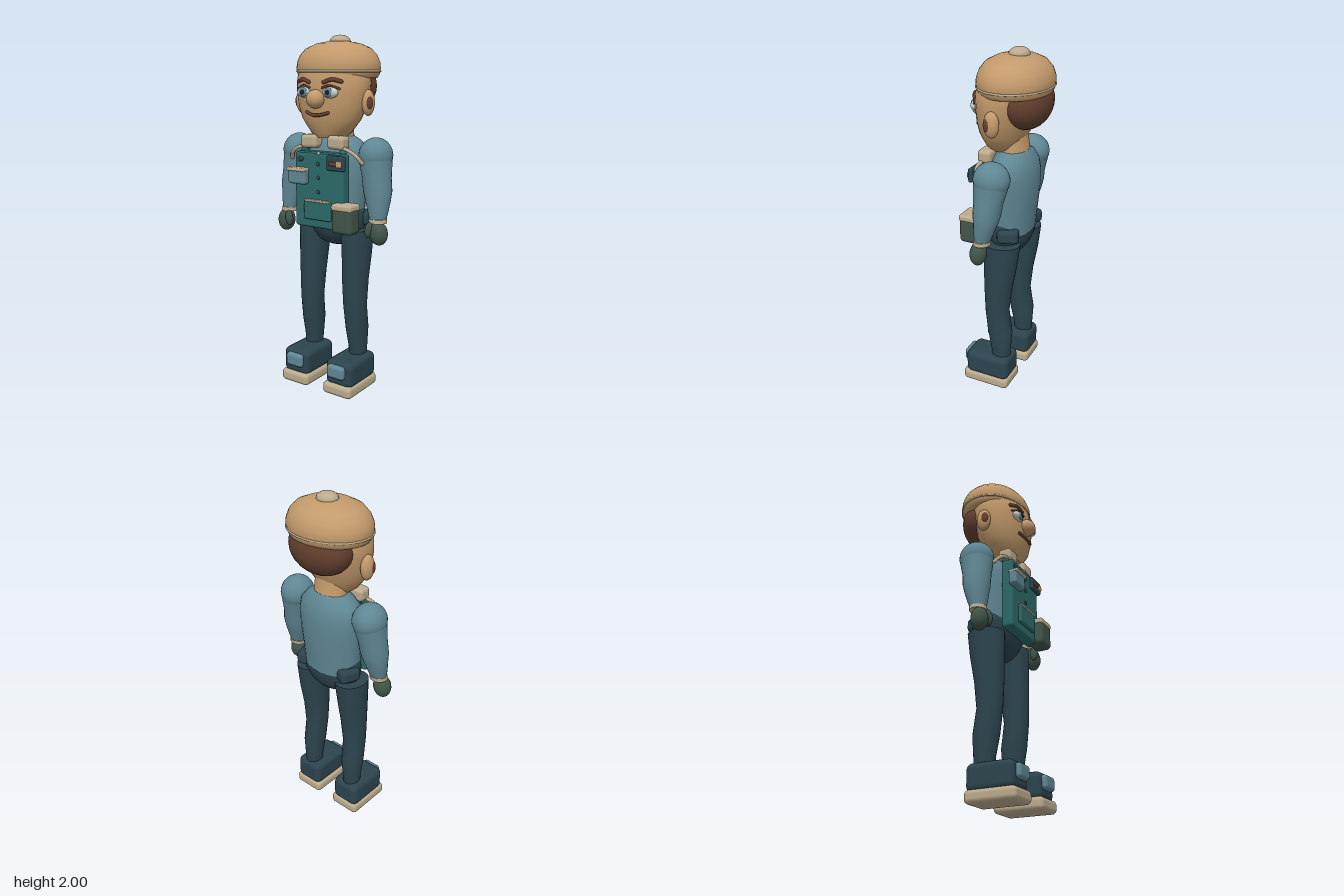
import * as THREE from 'three';
import { RoundedBoxGeometry } from 'three/addons/geometries/RoundedBoxGeometry.js';

const mat = (name, color, side = THREE.FrontSide) => {
  const m = new THREE.MeshStandardMaterial({ color, side });
  m.name = name;
  return m;
};

export function createModel() {
  const skin = mat('tan', 0xc39a6b);
  const navy = mat('navy', 0x2c444e);
  const steel = mat('steel blue', 0x5f8794);
  const teal = mat('teal', 0x2c6a69);
  const cream = mat('cream', 0xbcab8d);
  const brown = mat('brown', 0x64402f);
  const green = mat('glove green', 0x41554a);
  const white = mat('eye white', 0xc9cdc8);
  const black = mat('pupil', 0x15222a);

  const root = new THREE.Group();
  root.name = 'worker';

  const add = (name, geo, material, x = 0, y = 0, z = 0, rx = 0, ry = 0, rz = 0) => {
    const m = new THREE.Mesh(geo, material);
    m.name = name;
    m.position.set(x, y, z);
    m.rotation.set(rx, ry, rz);
    root.add(m);
    return m;
  };
  const ball = (name, material, x, y, z, a, b = a, c = a, rz = 0) =>
    add(name, new THREE.SphereGeometry(1, 24, 16), material, x, y, z, 0, 0, rz).scale.set(a, b, c);
  const box = (name, material, x, y, z, w, h, d, r = 0.012, ry = 0, rz = 0) =>
    add(name, new RoundedBoxGeometry(w, h, d, 3, r), material, x, y, z, 0, ry, rz);
  const tube = (name, material, pts, r) => {
    const curve = new THREE.CatmullRomCurve3(pts.map(p => new THREE.Vector3(...p)));
    add(name, new THREE.TubeGeometry(curve, 16, r, 8), material);
    for (const p of [pts[0], pts[pts.length - 1]]) ball(name + 'End', material, ...p, r);
  };

  // Smooth capped body through elliptical rings [x, y, z, rx, rz], bottom to top
  const loft = (name, material, rings, n = 28) => {
    const pos = [], idx = [];
    const ring = ([x, y, z, a, c]) => {
      for (let j = 0; j < n; j++) {
        const t = (j / n) * Math.PI * 2;
        pos.push(x + a * Math.cos(t), y, z + c * Math.sin(t));
      }
    };
    rings.forEach(ring);
    for (let i = 0; i < rings.length - 1; i++) {
      for (let j = 0; j < n; j++) {
        const a = i * n + j, c = i * n + (j + 1) % n;
        idx.push(a, a + n, c, c, a + n, c + n);
      }
    }
    [rings[0], rings[rings.length - 1]].forEach((r, top) => {
      const s = pos.length / 3;
      ring(r);
      pos.push(r[0], r[1], r[2]);
      for (let j = 0; j < n; j++) {
        const a = s + j, b = s + (j + 1) % n;
        if (top) idx.push(s + n, b, a);
        else idx.push(s + n, a, b);
      }
    });
    const g = new THREE.BufferGeometry();
    g.setAttribute('position', new THREE.Float32BufferAttribute(pos, 3));
    g.setIndex(idx);
    g.computeVertexNormals();
    return add(name, g, material);
  };

  // Pelvis, torso and neck
  ball('pelvis', navy, 0, 1.0, -0.01, 0.192, 0.17, 0.118);
  loft('torso', steel, [
    [0, 0.985, -0.01, 0.176, 0.122], [0, 1.1, -0.012, 0.182, 0.13], [0, 1.22, -0.017, 0.195, 0.136],
    [0, 1.32, -0.02, 0.203, 0.134], [0, 1.38, -0.022, 0.19, 0.122], [0, 1.43, -0.024, 0.148, 0.098],
    [0, 1.455, -0.025, 0.1, 0.076]]);
  loft('neck', skin, [[0, 1.4, -0.027, 0.105, 0.085], [0, 1.45, -0.027, 0.1, 0.074], [0, 1.54, -0.02, 0.095, 0.07]]);

  // Head and hair
  loft('head', skin, [
    [0, 1.45, 0.035, 0.085, 0.085], [0, 1.475, 0.035, 0.118, 0.1], [0, 1.51, 0.035, 0.148, 0.112],
    [0, 1.55, 0.032, 0.178, 0.13], [0, 1.62, 0.025, 0.205, 0.149], [0, 1.7, 0.017, 0.22, 0.162],
    [0, 1.77, 0.01, 0.222, 0.166], [0, 1.83, 0, 0.2, 0.16]]);
  ball('hair', brown, 0, 1.725, -0.1, 0.195, 0.148, 0.126);

  // Beret with cream piping and button
  const profile = [[0.21, 1.765], [0.228, 1.77], [0.24, 1.79], [0.246, 1.82], [0.243, 1.852], [0.226, 1.89],
    [0.19, 1.927], [0.13, 1.952], [0.065, 1.964], [0, 1.967]].map(p => new THREE.Vector2(...p));
  add('beret', new THREE.LatheGeometry(profile, 32), skin, 0, 0, -0.03).scale.z = 0.82;
  add('beretUnderside', new THREE.CircleGeometry(0.212, 32), skin, 0, 1.766, -0.03, Math.PI / 2).scale.y = 0.82;
  add('beretPiping', new THREE.TorusGeometry(0.243, 0.006, 8, 40), cream, 0, 1.805, -0.03, Math.PI / 2).scale.y = 0.82;
  ball('beretButton', cream, 0, 1.965, -0.047, 0.06, 0.035, 0.055);

  // Nose and mouth
  ball('nose', skin, 0, 1.66, 0.18, 0.053, 0.05, 0.05);
  tube('mouth', brown, [[-0.07, 1.588, 0.164], [-0.035, 1.578, 0.177], [0, 1.574, 0.181],
    [0.035, 1.578, 0.177], [0.07, 1.588, 0.164]], 0.009);

  for (const s of [-1, 1]) {
    const side = s > 0 ? 'left' : 'right';
    // Eyes, lids, brows and ears
    ball(side + 'Eye', white, s * 0.085, 1.695, 0.163, 0.047, 0.03, 0.025);
    ball(side + 'Iris', steel, s * 0.083, 1.696, 0.181, 0.026, 0.026, 0.011);
    ball(side + 'Pupil', black, s * 0.083, 1.696, 0.189, 0.014, 0.014, 0.006);
    tube(side + 'Eyelid', brown, [[s * 0.042, 1.72, 0.178], [s * 0.085, 1.731, 0.174], [s * 0.135, 1.715, 0.15]], 0.006);
    tube(side + 'Brow', brown, [[s * 0.048, 1.748, 0.172], [s * 0.095, 1.762, 0.163], [s * 0.14, 1.752, 0.142]], 0.011);
    ball(side + 'Ear', skin, s * 0.222, 1.64, 0.007, 0.032, 0.07, 0.043);
    ball(side + 'EarHollow', brown, s * 0.235, 1.64, 0.02, 0.021, 0.042, 0.026);

    // Shoulder, sleeve and cuff
    ball(side + 'Shoulder', steel, s * 0.262, 1.36, -0.012, 0.092, 0.096, 0.1);
    loft(side + 'Sleeve', steel, [
      [s * 0.304, 1.015, 0.027, 0.046, 0.043], [s * 0.3, 1.06, 0.02, 0.058, 0.054],
      [s * 0.292, 1.12, 0.01, 0.072, 0.066], [s * 0.287, 1.17, 0.005, 0.081, 0.075],
      [s * 0.277, 1.24, 0, 0.081, 0.08], [s * 0.266, 1.31, -0.008, 0.087, 0.092],
      [s * 0.262, 1.36, -0.012, 0.089, 0.097]], 24);
    loft(side + 'Cuff', cream, [[s * 0.306, 1.0, 0.029, 0.051, 0.048], [s * 0.304, 1.022, 0.027, 0.051, 0.048]], 24);

    // Glove
    ball(side + 'Glove', green, s * 0.32, 0.945, 0.045, 0.053, 0.067, 0.046, s * 0.15);
    ball(side + 'Thumb', green, s * 0.277, 0.962, 0.075, 0.022, 0.045, 0.024, s * -0.15);

    // Leg and shoe
    loft(side + 'Leg', navy, [
      [s * 0.158, 0.17, -0.008, 0.047, 0.054], [s * 0.157, 0.25, -0.008, 0.053, 0.06],
      [s * 0.155, 0.36, -0.001, 0.062, 0.075], [s * 0.152, 0.5, 0.017, 0.067, 0.071],
      [s * 0.149, 0.65, 0.011, 0.073, 0.083], [s * 0.149, 0.8, -0.003, 0.08, 0.098],
      [s * 0.146, 0.94, -0.012, 0.089, 0.107]], 24);
    box(side + 'Sole', cream, s * 0.15, 0.036, 0.064, 0.192, 0.071, 0.292, 0.025);
    box(side + 'Shoe', navy, s * 0.152, 0.13, 0.058, 0.178, 0.15, 0.272, 0.035);
    box(side + 'ToePatch', steel, s * 0.147, 0.148, 0.197, 0.116, 0.078, 0.044, 0.02);

    // Hip pouch, collar and shoulder strap
    box(side + 'HipPouch', navy, s * 0.158, 1.0, -0.055, 0.085, 0.08, 0.12, 0.025, s * 0.35);
    box(side + 'Collar', cream, s * 0.09, 1.427, 0.098, 0.108, 0.075, 0.08, 0.022, 0, s * -0.04);
    tube(side + 'Strap', cream, [[s * 0.11, 1.405, 0.11], [s * 0.18, 1.385, 0.115], [s * 0.22, 1.355, 0.105],
      [s * 0.238, 1.325, 0.088]], 0.011);
    tube(side + 'BibStrap', teal, [[s * 0.14, 1.345, 0.13], [s * 0.115, 1.41, 0.085]], 0.02);
  }

  // Apron with buttons
  box('apron', teal, 0, 1.16, 0.125, 0.325, 0.42, 0.07, 0.015);
  box('apronHem', teal, 0, 1.365, 0.125, 0.29, 0.02, 0.06, 0.008);
  [1.31, 1.235, 1.155].forEach(y => ball('button', navy, 0, y, 0.161, 0.011, 0.011, 0.007));
  ball('topButton', cream, 0, 1.368, 0.155, 0.01, 0.01, 0.008);
  ball('clip', navy, -0.12, 1.332, 0.162, 0.022, 0.014, 0.008);

  // Chest pocket, centre pocket and tool pouch, each with a trim
  box('chestPocket', steel, -0.127, 1.237, 0.172, 0.122, 0.09, 0.05, 0.016);
  box('chestPocketTrim', cream, -0.127, 1.275, 0.177, 0.122, 0.02, 0.06, 0.008);
  box('centrePocket', teal, 0, 1.053, 0.165, 0.18, 0.108, 0.026, 0.01);
  box('centrePocketTrim', cream, 0, 1.106, 0.168, 0.168, 0.012, 0.03, 0.005);
  box('toolPouch', green, 0.18, 1.018, 0.157, 0.132, 0.146, 0.1, 0.025);
  box('toolPouchFlap', cream, 0.18, 1.09, 0.157, 0.13, 0.04, 0.102, 0.015);

  // Tool holder with two small tools
  box('toolHolder', navy, 0.122, 1.322, 0.163, 0.115, 0.08, 0.028, 0.01);
  box('toolHandle', brown, 0.108, 1.32, 0.18, 0.05, 0.022, 0.016, 0.006);
  box('toolHead', skin, 0.15, 1.32, 0.18, 0.035, 0.035, 0.016, 0.006);

  return root;
}
